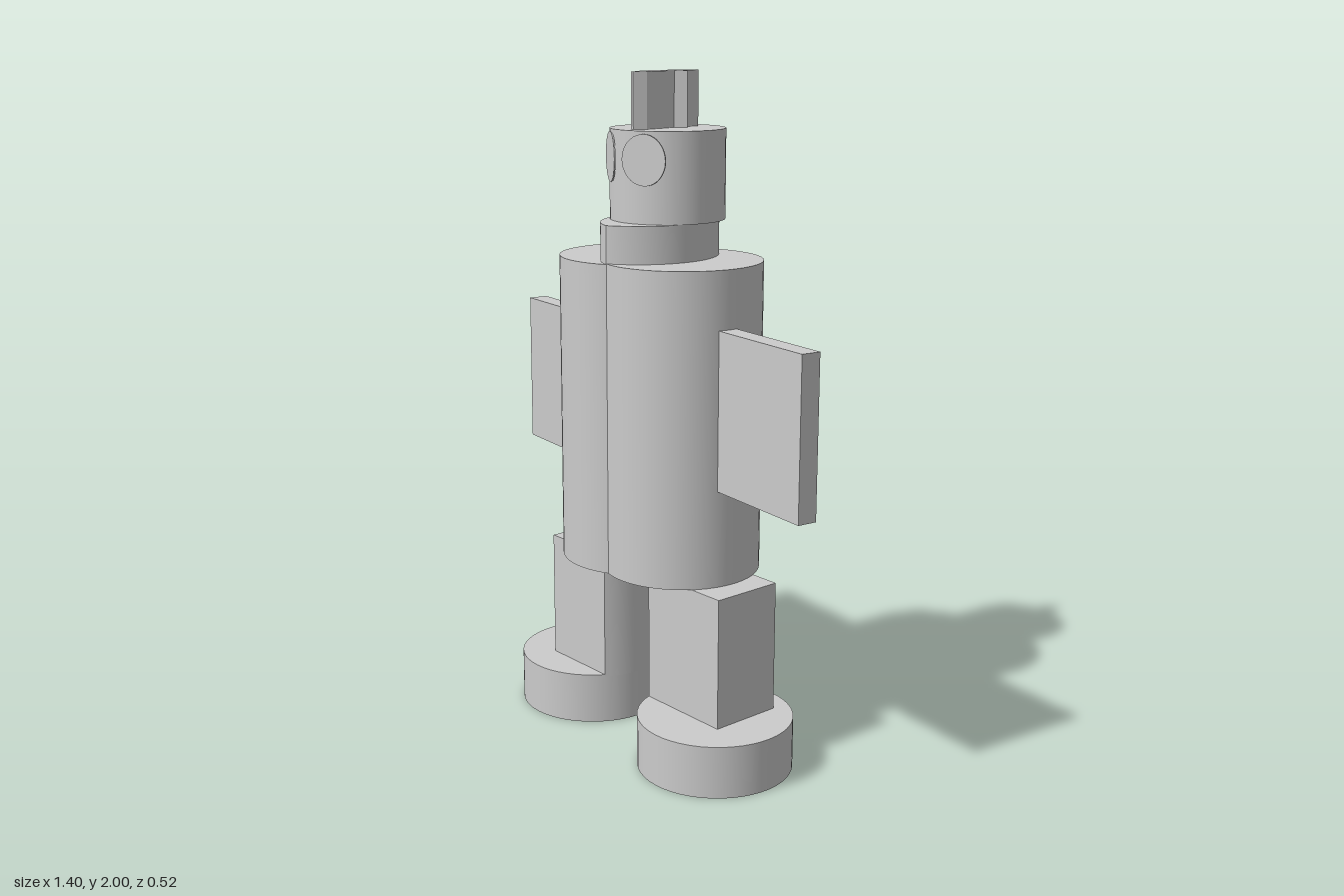
import * as THREE from 'three';
import { toCreasedNormals } from 'three/addons/utils/BufferGeometryUtils.js';

const material = new THREE.MeshStandardMaterial({ color: 0xcccccc });

export function createModel() {
  const model = new THREE.Group();

  function add(name, geometry, x = 0, y = 0, z = 0) {
    const mesh = new THREE.Mesh(geometry, material);
    mesh.name = name;
    mesh.position.set(x, y, z);
    model.add(mesh);
    return mesh;
  }

  // Upright cylinder between two heights
  function drum(name, x, z, r, y0, y1) {
    return add(name, new THREE.CylinderGeometry(r, r, y1 - y0, 48), x, (y0 + y1) / 2, z);
  }

  // Upright prism from an outline drawn in (x, z)
  function prism(name, shape, y0, y1, crease = 0.5) {
    const geo = new THREE.ExtrudeGeometry(shape, { depth: y1 - y0, bevelEnabled: false, curveSegments: 24 });
    geo.rotateX(Math.PI / 2);
    return add(name, toCreasedNormals(geo, crease), 0, y1, 0);
  }

  // Torso: two overlapping drums
  const R = 0.235;
  const a = new THREE.Vector2(-0.08, -0.015);
  const b = new THREE.Vector2(0.095, -0.03);
  drum('torsoRight', a.x, a.y, R, 0.55, 1.47);
  drum('torsoLeft', b.x, b.y, R, 0.55, 1.472);

  // Neck: the lens where the two drums overlap
  const dir = Math.atan2(b.y - a.y, b.x - a.x);
  const half = Math.acos(a.distanceTo(b) / 2 / R);
  const lens = new THREE.Shape();
  lens.absarc(a.x, a.y, R, dir - half, dir + half, false);
  lens.absarc(b.x, b.y, R, dir + Math.PI - half, dir + Math.PI + half, false);
  prism('neck', lens, 1.46, 1.58);

  // Head with a jagged crest
  const head = new THREE.Vector2(0.005, -0.052);
  drum('head', head.x, head.y, 0.168, 1.58, 1.84);
  const crest = [
    [0.015, -0.16], [0.013, -0.095], [0.047, -0.09], [0.02, -0.063], [0.033, 0.05],
    [0.015, 0.085], [0, 0.08], [-0.002, 0.042], [-0.024, 0.038], [-0.024, 0.012],
    [-0.008, -0.015], [-0.038, -0.011], [-0.063, -0.055], [-0.036, -0.07],
    [-0.04, -0.108], [-0.024, -0.145], [0, -0.16],
  ].map(([x, z]) => new THREE.Vector2(x, z));
  prism('crest', new THREE.Shape(crest), 1.83, 2, 0.3);

  // Eyes: thin discs, the right one nearly sunk into the head
  for (const [name, x, z, turn] of [['eyeLeft', 0.082, 0.103, 0.31], ['eyeRight', -0.077, 0.093, -0.51]]) {
    const disc = new THREE.CylinderGeometry(0.072, 0.072, 0.004, 40).rotateX(Math.PI / 2);
    add(name, disc, x, 1.76, z).rotation.y = turn;
  }

  // Arms: flat panels, slightly turned
  for (const [name, x, y, z] of [['armLeft', 0.447, 1.07, 0.018], ['armRight', -0.45, 1.018, -0.063]]) {
    add(name, new THREE.BoxGeometry(0.5, 0.465, 0.06), x, y, z).rotation.y = -0.13;
  }

  // Feet, and legs whose inner side follows the round of the foot
  const footR = 0.23, back = -0.125, front = 0.1;
  for (const [side, cx, cz, outer, inner] of [['Left', 0.318, 0.03, 0.405, -1], ['Right', -0.312, -0.015, -0.37, 1]]) {
    drum('foot' + side, cx, cz, footR, 0, 0.157);
    const a0 = Math.asin((back - cz) / footR), a1 = Math.asin((front - cz) / footR);
    const outline = [new THREE.Vector2(outer, back)];
    for (let i = 0; i <= 12; i++) {
      const t = a0 + (a1 - a0) * i / 12;
      outline.push(new THREE.Vector2(cx + inner * footR * Math.cos(t), cz + footR * Math.sin(t)));
    }
    outline.push(new THREE.Vector2(outer, front));
    prism('leg' + side, new THREE.Shape(outline), 0.15, 0.55, 0.3);
  }

  return model;
}
